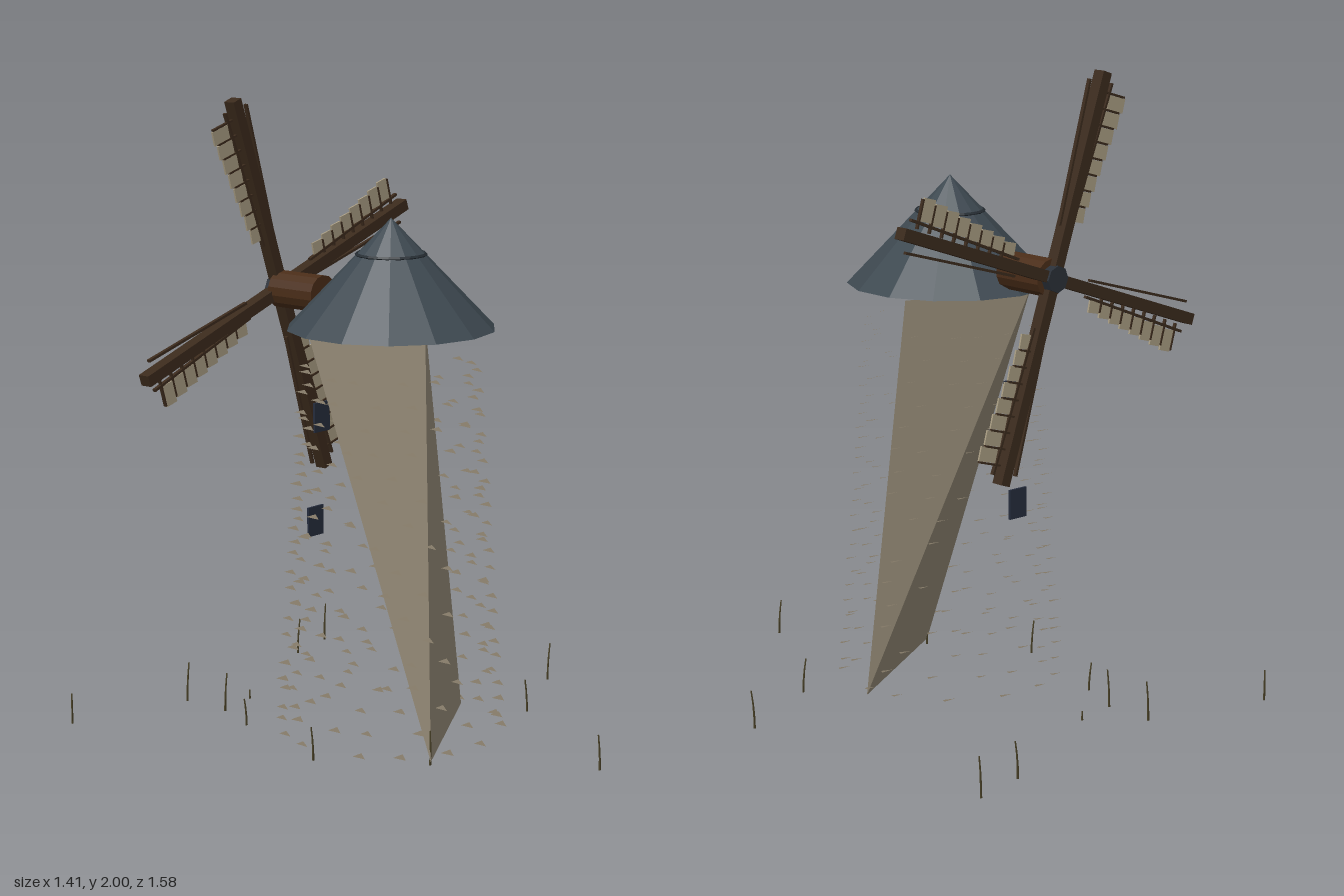
import * as THREE from 'three';
import { mergeGeometries } from 'three/addons/utils/BufferGeometryUtils.js';

const mat = (color, side = THREE.FrontSide) =>
  new THREE.MeshStandardMaterial({ color, side, flatShading: true });

const MATS = {
  stone: mat(0x968c78),
  chip: mat(0x857b68, THREE.DoubleSide),
  roof: mat(0x3d4850),
  roofTrim: mat(0x262d33),
  wood: mat(0x3b2a1c),
  shaft: mat(0x4a2d18),
  cloth: mat(0xa89c82),
  iron: mat(0x2a3038),
  glass: mat(0x252c3c),
  grass: mat(0x4a4228, THREE.DoubleSide),
};

// Vertical axis shared by the tower, the stones and the roof
const CX = -0.09, CZ = 0.075;

function add(parent, name, geometry, material, x = 0, y = 0, z = 0) {
  const mesh = new THREE.Mesh(geometry, material);
  mesh.name = name;
  mesh.position.set(x, y, z);
  parent.add(mesh);
  return mesh;
}

function triangles(points) {
  const g = new THREE.BufferGeometry();
  g.setAttribute('position', new THREE.Float32BufferAttribute(points.flat(), 3));
  g.computeVertexNormals();
  return g;
}

function seeded(seed) {
  return () => {
    seed = (seed * 16807) % 2147483647;
    return seed / 2147483647;
  };
}

// Straight timber between two points of an arm's plane
function beam(x0, y0, x1, y1, width, depth) {
  const g = new THREE.BoxGeometry(Math.hypot(x1 - x0, y1 - y0), width, depth);
  g.rotateZ(Math.atan2(y1 - y0, x1 - x0));
  return g.translate((x0 + x1) / 2, (y0 + y1) / 2, 0);
}

// One sail: spar along +x, cloth on the +y side
function sail() {
  const arm = new THREE.Group();
  arm.name = 'sail';
  add(arm, 'spar', beam(0, 0, 0.645, 0, 0.036, 0.04), MATS.wood);
  const timbers = [
    beam(0.16, 0.026, 0.62, 0.046, 0.008, 0.012),
    beam(0.16, -0.026, 0.61, -0.05, 0.008, 0.012),
  ];
  const panels = [];
  for (let i = 0; i < 8; i++) {
    const x = 0.205 + i * 0.051;
    const inner = 0.03 + i * 0.003, outer = 0.068 + i * 0.0075;
    panels.push(beam(x, inner, x + 0.004, outer, 0.045, 0.006));
    timbers.push(beam(x + 0.026, inner - 0.025, x + 0.03, outer - 0.006, 0.006, 0.01));
  }
  add(arm, 'sailRails', mergeGeometries(timbers), MATS.wood);
  add(arm, 'sailPanels', mergeGeometries(panels), MATS.cloth);
  return arm;
}

// Rings of thin stone chips standing clear of the tower
function stoneChips() {
  const rand = seeded(17), parts = [];
  for (let row = 0; row < 17; row++) {
    const y = 0.04 + row * 0.0713;
    const radius = 0.352 - y * 0.072;
    for (let i = 0; i < 14; i++) {
      const a = ((i + (row % 2) / 2 + rand() * 0.5) / 14) * Math.PI * 2;
      const w = 0.016 + rand() * 0.008;
      const chip = triangles([[-w, 0, -0.012], [0, -0.008, 0.02], [w, 0, -0.012]]);
      chip.translate(CX + Math.cos(a) * radius, y, CZ + Math.sin(a) * radius);
      parts.push(chip);
    }
  }
  return mergeGeometries(parts);
}

// Thin blade of grass, bent slightly toward the tip
function blade(x, z, h, lean) {
  const g = new THREE.BoxGeometry(0.006, h, 0.004, 1, 3, 1).translate(0, h / 2, 0);
  const p = g.attributes.position;
  for (let i = 0; i < p.count; i++) {
    const t = p.getY(i) / h;
    p.setX(i, p.getX(i) * (1 - 0.6 * t) + lean * t * t);
  }
  return g.translate(x, 0, z);
}

export function createModel() {
  const model = new THREE.Group();
  model.name = 'windmill';

  // Four-cornered twisted tower: edge AB on the ground, edge CD under the roof
  const A = [-0.26, 0.015, 0.375], B = [0.265, 0.015, 0.075];
  const C = [0.155, 1.285, 0.01], D = [-0.27, 1.285, -0.105];
  add(model, 'tower', triangles([A, B, C, A, C, D, C, B, D, A, D, B]), MATS.stone);
  add(model, 'stoneChips', stoneChips(), MATS.chip);

  // Roof cap and its thin band
  add(model, 'roof', new THREE.ConeGeometry(0.325, 0.34, 14), MATS.roof, CX, 1.475, CZ);
  const band = new THREE.TorusGeometry(0.106, 0.006, 4, 20).rotateX(Math.PI / 2);
  add(model, 'roofBand', band, MATS.roofTrim, CX, 1.533, CZ);

  // Windows on the sail side
  add(model, 'upperWindow', new THREE.BoxGeometry(0.07, 0.095, 0.008), MATS.glass, CX, 0.988, -0.212);
  add(model, 'lowerWindow', new THREE.BoxGeometry(0.07, 0.095, 0.008), MATS.glass, CX, 0.645, -0.24);

  // Shaft, hub and the four sails
  const shaft = new THREE.CylinderGeometry(0.06, 0.06, 0.18, 14).rotateX(Math.PI / 2);
  add(model, 'shaft', shaft, MATS.shaft, CX, 1.38, -0.292);
  const hub = new THREE.CylinderGeometry(0.042, 0.042, 0.04, 8).rotateX(Math.PI / 2);
  add(model, 'hub', hub, MATS.iron, CX, 1.38, -0.392);

  const sails = new THREE.Group();
  sails.name = 'sails';
  sails.position.set(CX, 1.38, -0.385);
  for (let i = 0; i < 4; i++) {
    const arm = sail();
    arm.rotation.z = THREE.MathUtils.degToRad(18.9 + i * 90);
    sails.add(arm);
  }
  model.add(sails);

  // Scattered grass: x, z, height, lean
  const tufts = [
    [-0.665, -0.775, 0.1, 0], [-0.255, -0.66, 0.13, 0.01], [-0.255, -0.49, 0.125, 0.01],
    [-0.105, -0.52, 0.03, 0], [-0.32, -0.335, 0.09, -0.01], [0.39, -0.75, 0.12, 0.012],
    [0.575, -0.79, 0.13, 0.008], [0.695, 0.105, 0.125, 0.012], [0.37, 0.265, 0.11, -0.012],
    [0.045, 0.79, 0.115, -0.01], [-0.25, 0.365, 0.11, 0], [-0.445, 0.06, 0.11, -0.01],
  ];
  add(model, 'grass', mergeGeometries(tufts.map((t) => blade(...t))), MATS.grass);

  return model;
}
